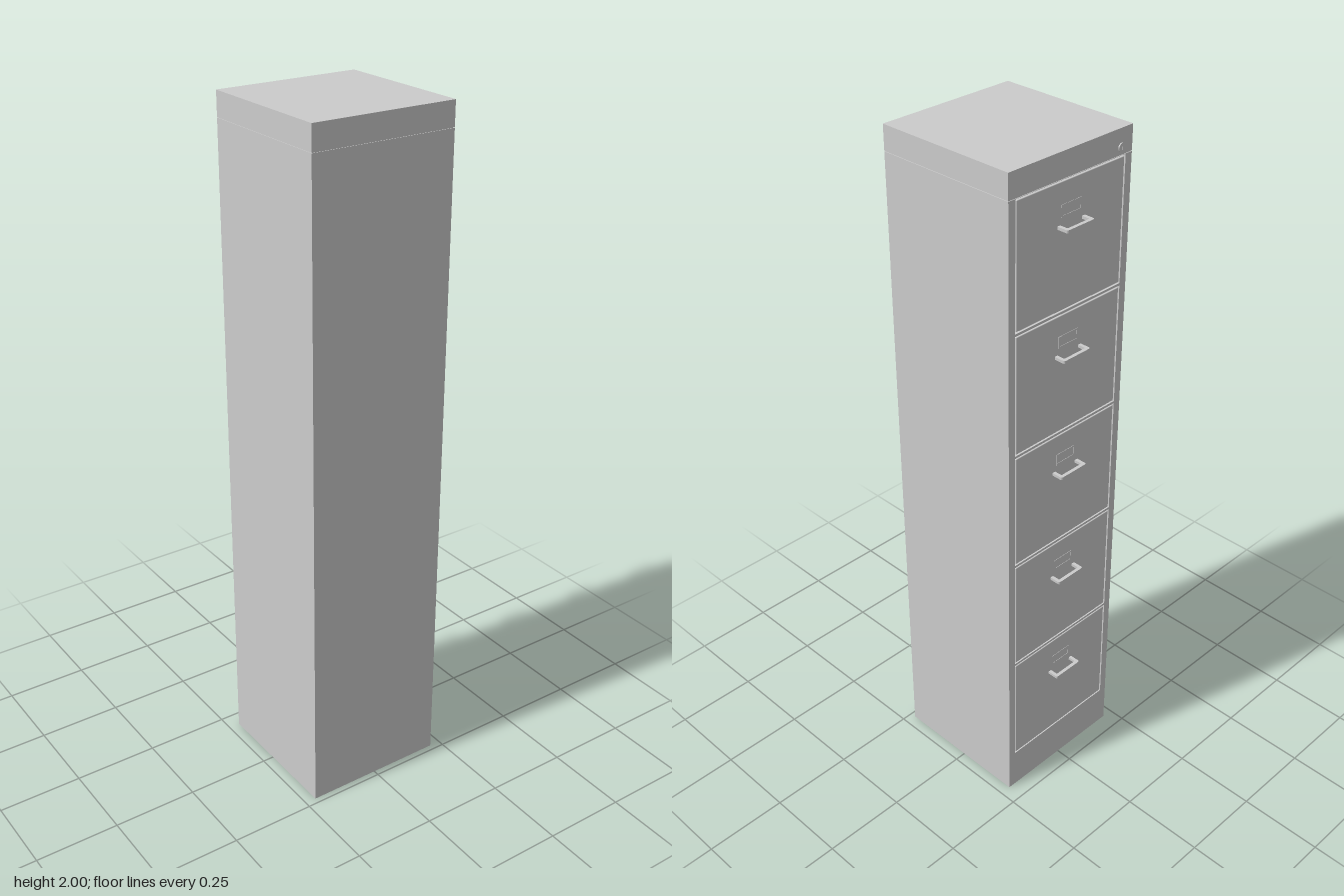
import * as THREE from 'three';
import { RoundedBoxGeometry } from 'three/addons/geometries/RoundedBoxGeometry.js';

const W = 0.432, BACK = 0.232, FACE = -0.2; // drawers open towards -z
const SEAM = 1.931, RECESS = 0.012, GAP = 0.004;
const DRAWER = { count: 5, w: 0.378, h: 0.346, top: 1.924, pitch: 0.361 };

const material = new THREE.MeshStandardMaterial({ color: 0xcccccc });

function add(parent, name, geometry, x = 0, y = 0, z = 0) {
  const mesh = new THREE.Mesh(geometry, material);
  mesh.name = name;
  mesh.position.set(x, y, z);
  parent.add(mesh);
  return mesh;
}

function rectangle(Type, w, h, cy = 0) {
  const p = new Type();
  p.moveTo(-w / 2, cy - h / 2);
  p.lineTo(w / 2, cy - h / 2);
  p.lineTo(w / 2, cy + h / 2);
  p.lineTo(-w / 2, cy + h / 2);
  p.closePath();
  return p;
}

const extrude = (shape, depth) =>
  new THREE.ExtrudeGeometry(shape, { depth, bevelEnabled: false, curveSegments: 6 });

// U-shaped pull handle, drawn flat with rounded outer and inner corners
function handleGeometry() {
  const a = 0.049, t = 0.01, d = 0.034, r = 0.007, q = 0.003;
  const s = new THREE.Shape();
  s.moveTo(-a, 0);
  s.lineTo(-a, d - r);
  s.quadraticCurveTo(-a, d, -a + r, d);
  s.lineTo(a - r, d);
  s.quadraticCurveTo(a, d, a, d - r);
  s.lineTo(a, 0);
  s.lineTo(a - t, 0);
  s.lineTo(a - t, d - t - q);
  s.quadraticCurveTo(a - t, d - t, a - t - q, d - t);
  s.lineTo(-a + t + q, d - t);
  s.quadraticCurveTo(-a + t, d - t, -a + t, d - t - q);
  s.lineTo(-a + t, 0);
  s.closePath();
  const g = extrude(s, 0.008);
  g.translate(0, 0, -0.004);
  g.rotateX(-Math.PI / 2); // project towards -z
  return g;
}

export function createModel() {
  const cabinet = new THREE.Group();
  cabinet.name = 'filingCabinet';

  // Main carcass and the lid above the seam
  const depth = BACK - FACE - RECESS;
  add(cabinet, 'carcass', new THREE.BoxGeometry(W, SEAM - 0.002, depth),
    0, (SEAM - 0.002) / 2, BACK - depth / 2);
  add(cabinet, 'seam', new THREE.BoxGeometry(W - 0.004, 0.006, BACK - FACE - 0.004),
    0, SEAM - 0.001, (BACK + FACE) / 2);
  add(cabinet, 'lid', new THREE.BoxGeometry(W, 2 - SEAM, BACK - FACE),
    0, (2 + SEAM) / 2, (BACK + FACE) / 2);

  // Face frame with one opening per drawer
  const frame = rectangle(THREE.Shape, W, SEAM - 0.002, (SEAM - 0.002) / 2);
  const centres = Array.from({ length: DRAWER.count },
    (_, i) => DRAWER.top - DRAWER.h / 2 - i * DRAWER.pitch);
  for (const y of centres) {
    frame.holes.push(rectangle(THREE.Path, DRAWER.w + GAP * 2, DRAWER.h + GAP * 2, y));
  }
  add(cabinet, 'faceFrame', extrude(frame, RECESS), 0, 0, FACE);

  // Drawers with handle and label holder
  const front = new RoundedBoxGeometry(DRAWER.w, DRAWER.h, RECESS, 2, 0.002);
  const handle = handleGeometry();
  const label = rectangle(THREE.Shape, 0.072, 0.034);
  label.holes.push(rectangle(THREE.Path, 0.062, 0.024));
  const labelFrame = extrude(label, 0.002);
  centres.forEach((y, i) => {
    const drawer = new THREE.Group();
    drawer.name = `drawer${i + 1}`;
    drawer.position.set(0, y, FACE);
    add(drawer, 'drawerFront', front, 0, 0, RECESS / 2);
    add(drawer, 'handle', handle, 0, DRAWER.h / 2 - 0.115, 0);
    add(drawer, 'labelHolder', labelFrame, 0, DRAWER.h / 2 - 0.076, -0.001);
    cabinet.add(drawer);
  });

  // Round lock with a key slot
  const lock = new THREE.Group();
  lock.name = 'lock';
  lock.position.set(-0.176, 1.95, FACE);
  add(lock, 'lockBarrel', new THREE.CylinderGeometry(0.012, 0.012, 0.006, 24)).rotation.x = Math.PI / 2;
  add(lock, 'keySlot', new THREE.BoxGeometry(0.002, 0.011, 0.001), 0, 0, -0.003);
  cabinet.add(lock);

  return cabinet;
}
